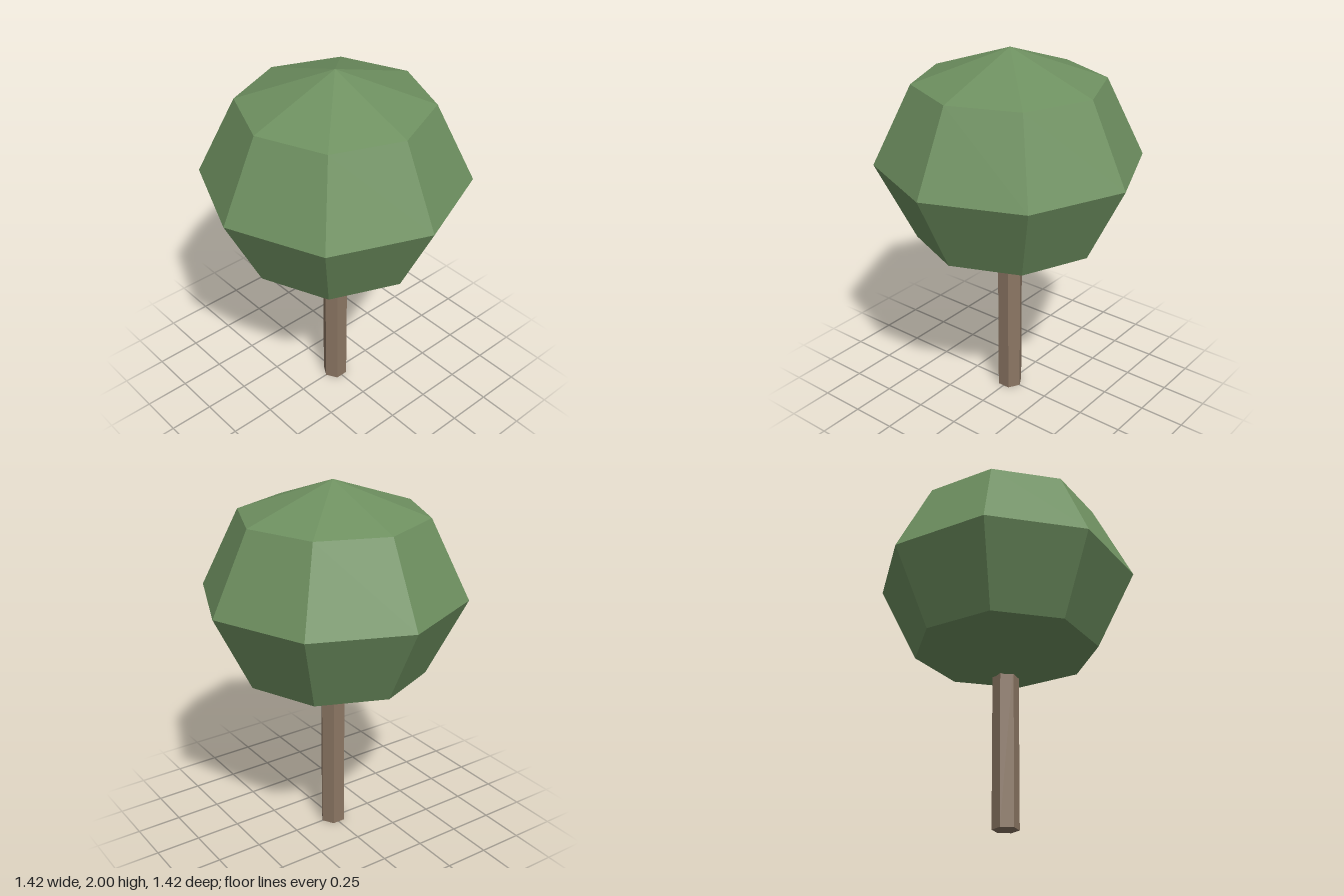
import * as THREE from 'three';

export function createModel() {
  const tree = new THREE.Group();
  tree.name = 'tree';

  const leafGreen = new THREE.MeshStandardMaterial({ color: 0x6e9060, flatShading: true });
  leafGreen.name = 'leafGreen';
  const barkBrown = new THREE.MeshStandardMaterial({ color: 0x8b7663, flatShading: true });
  barkBrown.name = 'barkBrown';

  // Hexagonal trunk with corners on the x axis, running up into the canopy
  const trunkHeight = 0.9;
  const trunkGeometry = new THREE.CylinderGeometry(0.071, 0.071, trunkHeight, 6);
  trunkGeometry.rotateY(Math.PI / 6);
  trunkGeometry.translate(0, trunkHeight / 2, 0);
  const trunk = new THREE.Mesh(trunkGeometry, barkBrown);
  trunk.name = 'trunk';
  tree.add(trunk);

  // Faceted canopy: a coarse ball, slightly flattened
  const canopyGeometry = new THREE.SphereGeometry(1, 8, 4);
  canopyGeometry.scale(0.712, 0.6, 0.712);
  canopyGeometry.translate(0, 1.4, 0);
  const canopy = new THREE.Mesh(canopyGeometry, leafGreen);
  canopy.name = 'canopy';
  tree.add(canopy);

  return tree;
}
